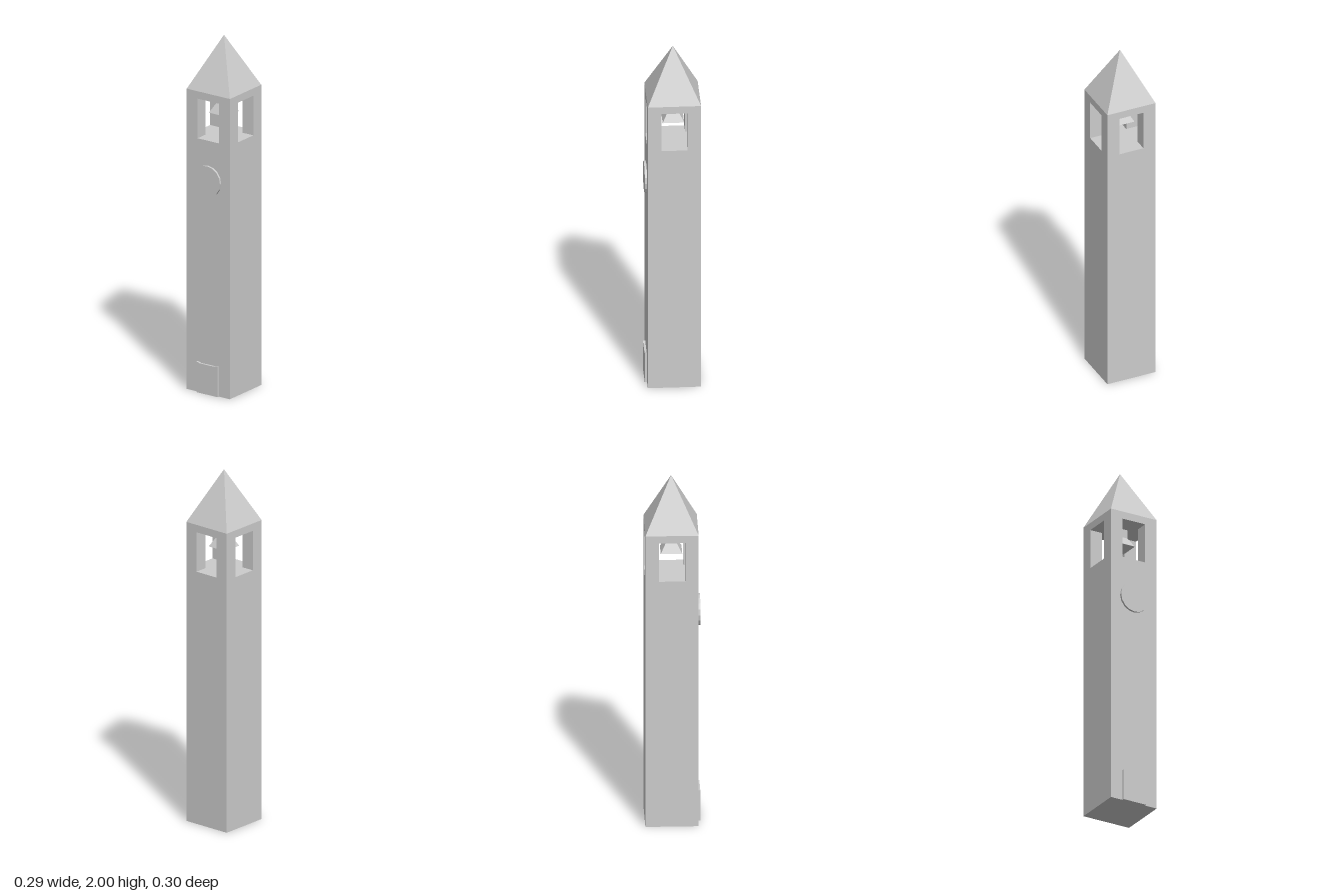
import * as THREE from 'three';

const HALF = 0.143;     // half width of the tower
const OPEN = 0.071;     // half width of the belfry openings
const SILL = 1.438, HEAD = 1.663, EAVES = 1.705, TOP = 2;
const FRONT = HALF;     // front wall, before the tower is shifted back
const RELIEF = 0.012;   // depth of the door and clock

export function createModel() {
  const tower = new THREE.Group();
  tower.name = 'bellTower';
  const material = new THREE.MeshStandardMaterial({ color: 0xcccccc, flatShading: true });

  const add = (name, geometry, x = 0, y = 0, z = 0) => {
    const mesh = new THREE.Mesh(geometry, material);
    mesh.name = name;
    mesh.position.set(x, y, z);
    tower.add(mesh);
    return mesh;
  };
  const block = (name, width, y0, y1, x = 0, z = 0) =>
    add(name, new THREE.BoxGeometry(width, y1 - y0, width), x, (y0 + y1) / 2, z);
  // Square frustum given by its half widths
  const frustum = (name, top, bottom, y0, y1) =>
    add(name, new THREE.CylinderGeometry(top * Math.SQRT2, bottom * Math.SQRT2, y1 - y0, 4, 1, false, Math.PI / 4),
      0, (y0 + y1) / 2, 0);

  // Shaft, corner pillars around the crossing openings, and lintel
  block('shaft', HALF * 2, 0, SILL);
  const mid = (HALF + OPEN) / 2;
  for (const sx of [-1, 1]) {
    for (const sz of [-1, 1]) block('belfryPillar', HALF - OPEN, SILL, HEAD, sx * mid, sz * mid);
  }
  block('lintel', HALF * 2, HEAD, EAVES);

  // Pyramid roof
  frustum('roof', 0, HALF, EAVES, TOP);

  // Square bell hanging from the belfry ceiling
  frustum('bellNeck', 0.029, 0.029, 1.615, HEAD);
  frustum('bellSkirt', 0.029, 0.058, 1.562, 1.615);

  // Clock face
  const clock = add('clockFace', new THREE.CylinderGeometry(0.086, 0.086, RELIEF, 16), 0, 1.211, FRONT + RELIEF / 2);
  clock.rotation.x = Math.PI / 2;

  // Door with a slightly dipped top edge
  const outline = [[-0.071, 0], [0.071, 0], [0.071, 0.175], [0.047, 0.168], [-0.047, 0.168], [-0.071, 0.175]];
  const doorShape = new THREE.Shape(outline.map(([x, y]) => new THREE.Vector2(x, y)));
  add('door', new THREE.ExtrudeGeometry(doorShape, { depth: RELIEF, bevelEnabled: false }), 0, 0, FRONT);

  // Centre the whole depth, including the door and clock
  for (const part of tower.children) part.position.z -= RELIEF / 2;
  return tower;
}
